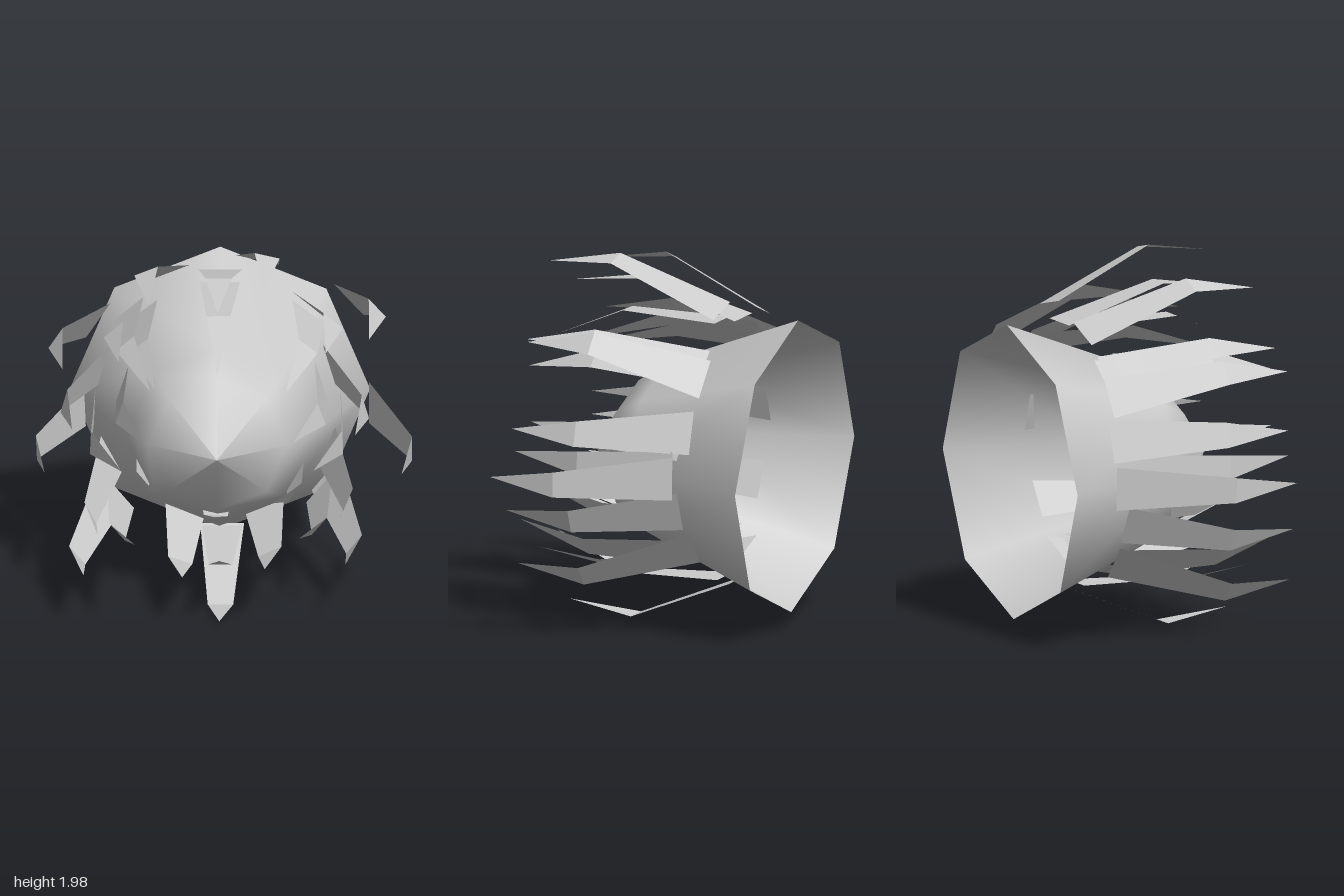
import * as THREE from 'three';

const material = new THREE.MeshStandardMaterial({ color: 0xcccccc, side: THREE.DoubleSide });
const CENTRE = new THREE.Vector2(-0.02, 0.9);

// Bent blade: a tapering quad from base to bend, then a triangle to the tip.
// Its width runs around the cup's axis.
function blade(name, [bx, by, bz], [mx, my, mz], [tx, ty, tz], wBase, wBend) {
  const out = new THREE.Vector2(mx, my).sub(CENTRE).normalize();
  const [sx, sy] = [-out.y, out.x];
  const corners = [
    bx - sx * wBase, by - sy * wBase, bz, bx + sx * wBase, by + sy * wBase, bz,
    mx - sx * wBend, my - sy * wBend, mz, mx + sx * wBend, my + sy * wBend, mz,
    tx, ty, tz,
  ];
  let geometry = new THREE.BufferGeometry();
  geometry.setAttribute('position', new THREE.Float32BufferAttribute(corners, 3));
  geometry.setIndex([0, 1, 3, 0, 3, 2, 2, 3, 4]);
  geometry = geometry.toNonIndexed();
  geometry.computeVertexNormals();
  const mesh = new THREE.Mesh(geometry, material);
  mesh.name = name;
  return mesh;
}

export function createModel() {
  const model = new THREE.Group();
  model.name = 'spikedCup';

  // Eight-sided cup, open at the back, with a blunt nose
  const profile = [[0.785, 0], [0.48, 0.74], [0.36, 0.9], [0, 1.14]]
    .map(([r, h]) => new THREE.Vector2(r, h));
  const cup = new THREE.Mesh(new THREE.LatheGeometry(profile, 8).rotateX(Math.PI / 2), material);
  cup.name = 'cup';
  cup.position.set(-0.035, 0.875, -0.69);
  cup.rotation.x = -0.025;
  model.add(cup);

  // Flaring outer blades: base x, y, bend x, y, base z
  const outer = [
    [0.165, 1.72, 0.225, 1.965, -0.36],
    [-0.3, 1.63, -0.41, 1.86, -0.4],
    [-0.03, 1.65, -0.03, 1.82, -0.4],
    [-0.67, 1.35, -0.885, 1.47, -0.43],
    [-0.46, 1.44, -0.58, 1.55, -0.35],
    [0.64, 1.46, 0.8, 1.635, -0.47],
    [0.43, 1.47, 0.57, 1.6, -0.37],
    [0.75, 0.935, 0.985, 0.9, -0.33],
    [0.54, 1.14, 0.74, 1.125, -0.35],
    [-0.64, 1.11, -0.84, 1.13, -0.4],
    [-0.74, 0.875, -0.985, 0.86, -0.42],
    [-0.59, 0.455, -0.77, 0.28, -0.36],
    [-0.6, 0.65, -0.7, 0.54, -0.3],
    [0.52, 0.52, 0.68, 0.35, -0.36],
    [0.53, 0.71, 0.65, 0.63, -0.28],
    [-0.02, 0.24, -0.02, 0.005, -0.37],
    [0.2, 0.4, 0.24, 0.33, -0.3],
    [-0.21, 0.38, -0.23, 0.26, -0.35],
  ];
  outer.forEach(([bx, by, mx, my, bz], i) => {
    const inward = CENTRE.clone().sub(new THREE.Vector2(mx, my)).setLength(0.05);
    const tip = [mx + inward.x, my + inward.y, bz + 0.96];
    model.add(blade(`outerBlade${i + 1}`, [bx, by, bz], [mx, my, bz + 0.58], tip, 0.115, 0.067));
  });

  // Inner blades run along the cup and hook inward: bend x, y, tip x, y, tip z
  const inner = [
    [-0.03, 1.64, -0.03, 1.46, 0.68],
    [-0.02, 0.24, -0.02, 0.42, 0.66],
    [-0.045, 0.5, -0.045, 0.65, 0.62],
    [-0.43, 0.69, -0.35, 0.78, 0.63],
    [0.37, 0.635, 0.27, 0.735, 0.63],
    [-0.55, 1.08, -0.43, 1.08, 0.64],
    [0.51, 1.08, 0.37, 1.08, 0.64],
    [-0.7, 0.93, -0.53, 0.93, 0.69],
    [0.62, 0.94, 0.475, 0.94, 0.69],
    [-0.56, 0.43, -0.46, 0.52, 0.69],
    [0.5, 0.47, 0.4, 0.56, 0.69],
    [-0.52, 1.48, -0.38, 1.37, 0.67],
    [-0.45, 1.44, -0.36, 1.36, 0.6],
    [0.44, 1.47, 0.33, 1.37, 0.67],
  ];
  inner.forEach(([mx, my, tx, ty, tz], i) => {
    const base = CENTRE.clone().lerp(new THREE.Vector2(mx, my), 0.98);
    model.add(blade(`innerBlade${i + 1}`, [base.x, base.y, tz - 0.96], [mx, my, tz - 0.42],
      [tx, ty, tz], 0.105, 0.063));
  });

  return model;
}
